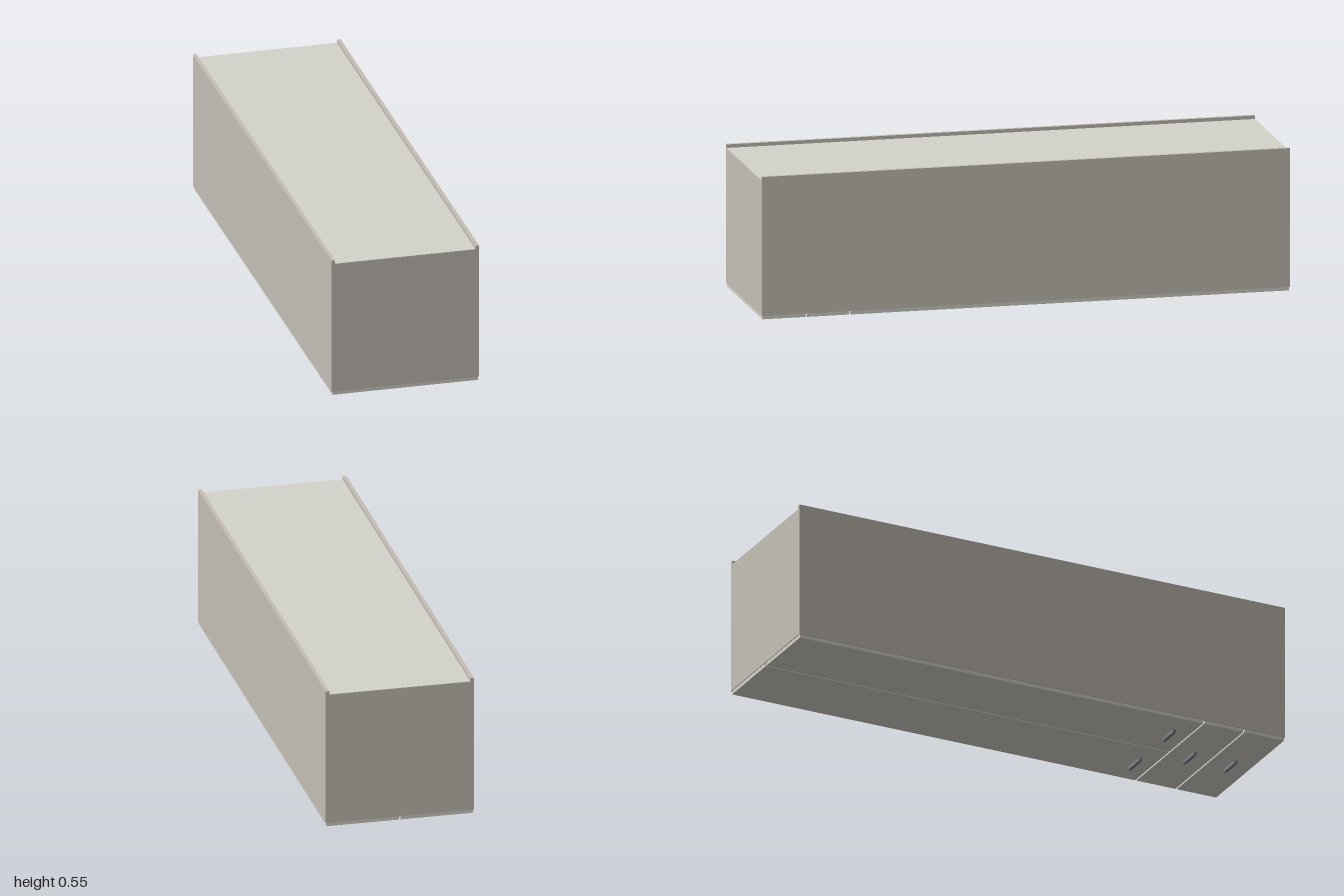
import * as THREE from 'three';

const mat = (color) => new THREE.MeshStandardMaterial({ color });

export function createModel() {
  const root = new THREE.Group();
  root.name = 'cabinetOnItsBack';
  const shell = mat(0xc4beb5), pale = mat(0xd4d3cb), metal = mat(0x7d8285);

  // Box given by its min and max along each axis
  const box = (name, material, [x0, x1], [y0, y1], [z0, z1]) => {
    const mesh = new THREE.Mesh(new THREE.BoxGeometry(x1 - x0, y1 - y0, z1 - z0), material);
    mesh.position.set((x0 + x1) / 2, (y0 + y1) / 2, (z0 + z1) / 2);
    mesh.name = name;
    root.add(mesh);
  };

  // Carcass: long sides rise past the backing panel as lips
  box('leftSide', shell, [0.267, 0.281], [0.027, 0.551], [-1, 1]);
  box('rightSide', shell, [-0.281, -0.267], [0.027, 0.551], [-1, 1]);
  box('frontEnd', shell, [-0.267, 0.267], [0.027, 0.535], [0.986, 1]);
  box('backEnd', shell, [-0.267, 0.267], [0.027, 0.535], [-1, -0.986]);
  box('backingPanel', pale, [-0.267, 0.267], [0.535, 0.538], [-1, 1]);
  box('innerFloor', shell, [-0.267, 0.267], [0.027, 0.032], [-0.986, 0.986]);

  // Underside: two drawer fronts and a pair of doors with narrow gaps
  const gap = 0.003, edge = 0.277, y = [0.013, 0.027];
  box('upperDrawerFront', pale, [-edge, edge], y, [0.832 + gap, 0.997]);
  box('lowerDrawerFront', pale, [-edge, edge], y, [0.666 + gap, 0.832 - gap]);
  box('leftDoor', pale, [gap, edge], y, [-0.997, 0.666 - gap]);
  box('rightDoor', pale, [-edge, -gap], y, [-0.997, 0.666 - gap]);

  // Handles
  for (const [name, x, z] of [
    ['upperDrawerHandle', 0, 0.916], ['lowerDrawerHandle', 0, 0.749],
    ['leftDoorHandle', 0.14, 0.593], ['rightDoorHandle', -0.14, 0.593],
  ]) box(name, metal, [x - 0.045, x + 0.045], [0, 0.013], [z - 0.006, z + 0.006]);

  return root;
}
